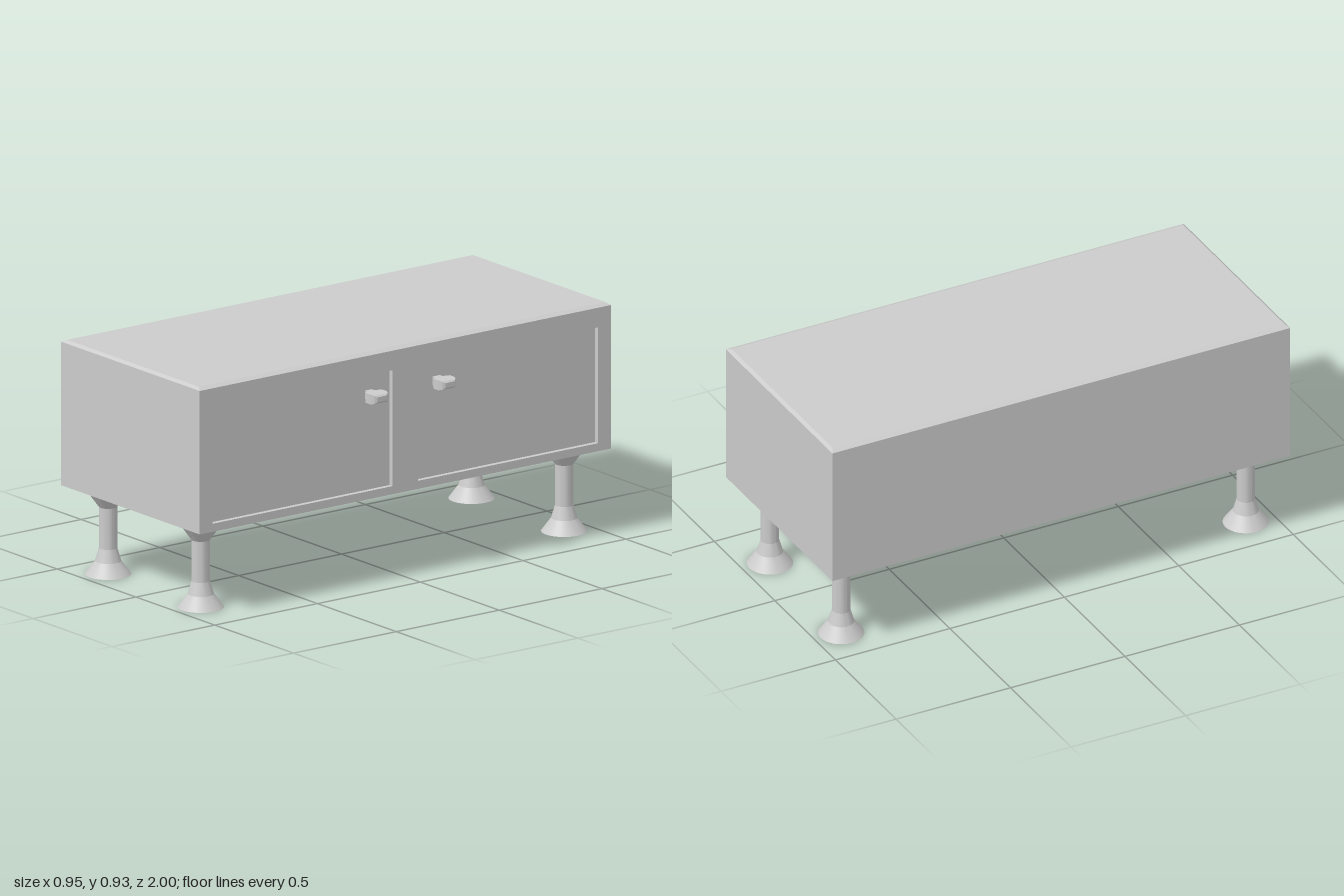
import * as THREE from 'three';
import { toCreasedNormals } from 'three/addons/utils/BufferGeometryUtils.js';

const BACK = -0.475, FRONT = 0.405, BOTTOM = 0.342, TOP = 0.918;
const DOOR = { z: 0.5, y: 0.607, width: 0.875, height: 0.465, recess: 0.02 };

export function createModel() {
  const group = new THREE.Group();
  const grey = new THREE.MeshStandardMaterial({ color: 0xcccccc });
  const faceted = new THREE.MeshStandardMaterial({ color: 0xcccccc, flatShading: true });

  const add = (name, geometry, x, y, z, material = grey) => {
    const mesh = new THREE.Mesh(geometry, material);
    mesh.name = name;
    mesh.position.set(x, y, z);
    group.add(mesh);
    return mesh;
  };

  // Closed carcass behind the door frame
  const height = TOP - BOTTOM, frameDepth = 0.04;
  const carcassDepth = FRONT - frameDepth - BACK;
  add('carcass', new THREE.BoxGeometry(carcassDepth, height, 2),
    BACK + carcassDepth / 2, (BOTTOM + TOP) / 2, 0);

  // Frame with two door openings, drawn in z/y and turned to face +x
  const rect = (path, x, y, w, h) => path
    .moveTo(x - w / 2, y - h / 2).lineTo(x + w / 2, y - h / 2)
    .lineTo(x + w / 2, y + h / 2).lineTo(x - w / 2, y + h / 2).closePath();
  const frame = new THREE.Shape();
  rect(frame, 0, (BOTTOM + TOP) / 2, 2, height);
  for (const s of [-1, 1]) {
    const hole = new THREE.Path();
    rect(hole, s * DOOR.z, DOOR.y, DOOR.width, DOOR.height);
    frame.holes.push(hole);
  }
  const frameGeometry = new THREE.ExtrudeGeometry(frame, { depth: frameDepth, bevelEnabled: false });
  frameGeometry.rotateY(Math.PI / 2);
  add('doorFrame', frameGeometry, FRONT - frameDepth, 0, 0);

  // Shallow top with sloped edges
  const lid = new THREE.BoxGeometry(FRONT - BACK, 0.01, 2);
  const lp = lid.attributes.position;
  for (let i = 0; i < lp.count; i++) {
    if (lp.getY(i) > 0) {
      lp.setX(i, lp.getX(i) - Math.sign(lp.getX(i)) * 0.022);
      lp.setZ(i, lp.getZ(i) - Math.sign(lp.getZ(i)) * 0.013);
    }
  }
  add('top', lid, (FRONT + BACK) / 2, TOP + 0.005, 0, faceted);

  // Pull: a rounded head on a narrow stem; stations are [x, half height, half width]
  const stations = [
    [0.38, 0.017, 0.016], [0.405, 0.017, 0.018], [0.406, 0.017, 0.03],
    [0.42, 0.02, 0.04], [0.452, 0.02, 0.04], [0.466, 0.016, 0.032], [0.472, 0.01, 0.022],
  ];
  const pull = new THREE.BoxGeometry(1, 1, 1, stations.length - 1, 1, 1);
  const pp = pull.attributes.position;
  for (let i = 0; i < pp.count; i++) {
    const [x, hy, hz] = stations[Math.round((pp.getX(i) + 0.5) * (stations.length - 1))];
    pp.setXYZ(i, x, Math.sign(pp.getY(i)) * hy, Math.sign(pp.getZ(i)) * hz);
  }

  // Recessed doors with a pull near the middle post
  const panel = new THREE.BoxGeometry(frameDepth - DOOR.recess, DOOR.height, DOOR.width);
  for (const s of [-1, 1]) {
    add('door', panel, FRONT - DOOR.recess - (frameDepth - DOOR.recess) / 2, DOOR.y, s * DOOR.z);
    add('doorPull', pull, 0, 0.757, s * 0.165, faceted);
  }

  // Turned legs with a flared foot and collar
  const profile = [[0, 0], [0.09, 0], [0.051, 0.053], [0.036, 0.105], [0.036, 0.27], [0.088, BOTTOM], [0, BOTTOM]]
    .map(([r, y]) => new THREE.Vector2(r, y));
  const leg = toCreasedNormals(new THREE.LatheGeometry(profile, 32), 0.25);
  for (const x of [-0.328, 0.26]) {
    for (const z of [-0.884, 0.884]) add('leg', leg, x, 0, z);
  }

  return group;
}
